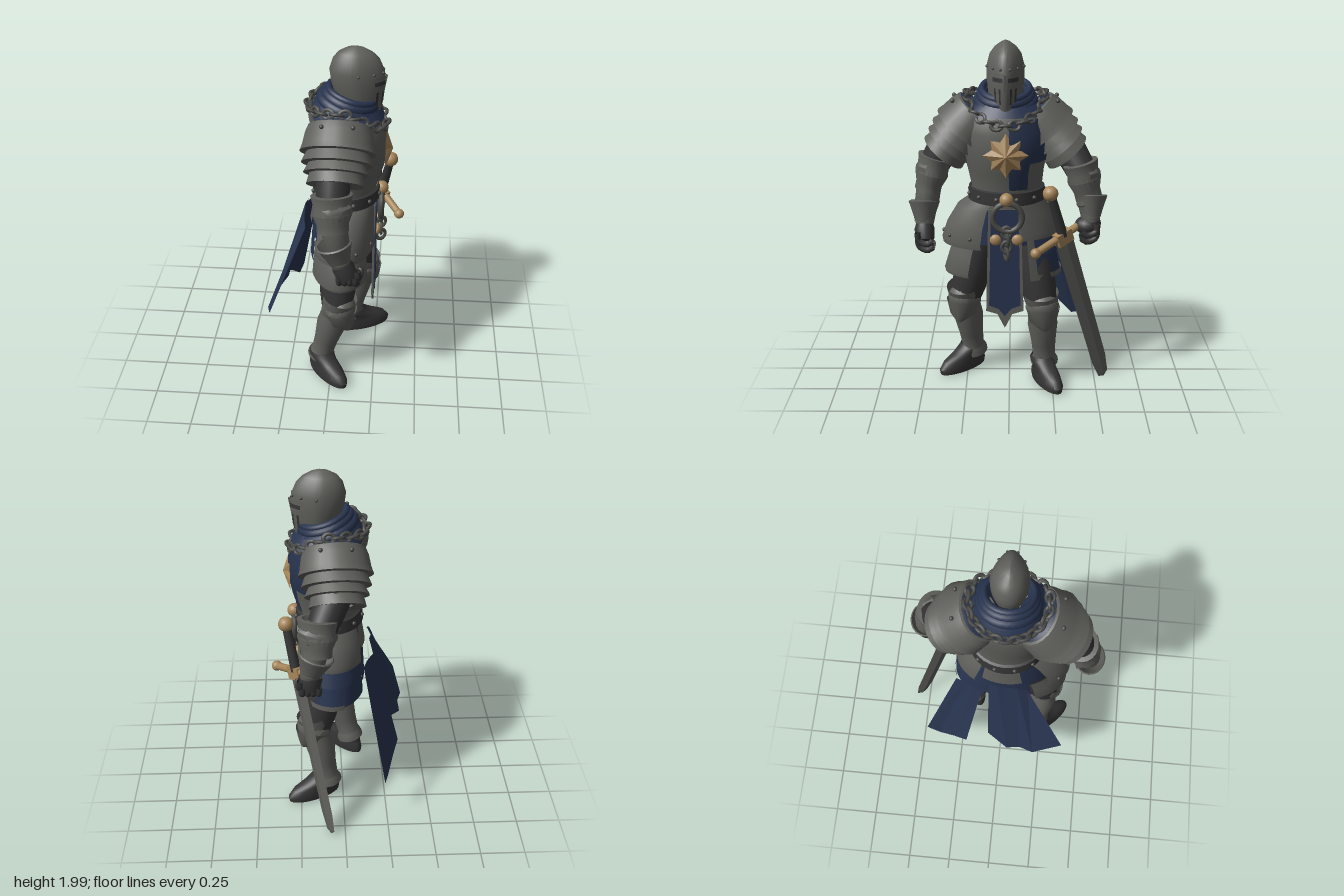
import * as THREE from 'three';
import { toCreasedNormals } from 'three/addons/utils/BufferGeometryUtils.js';

const material = (name, color) => new THREE.MeshStandardMaterial({ name, color, side: THREE.DoubleSide });
const steel = material('steel', 0x5f605b);
const iron = material('dark iron', 0x4a4a48);
const leather = material('dark leather', 0x353536);
const cloth = material('blue cloth', 0x28344f);
const gold = material('gold', 0xa5855a);
const V = (a) => new THREE.Vector3(...a);
const UP = new THREE.Vector3(0, 1, 0);

export function createModel() {
  const root = new THREE.Group();
  root.name = 'knight';
  const add = (name, geo, mat, pos = [0, 0, 0], parent = root) => {
    const m = new THREE.Mesh(geo, mat);
    m.name = name;
    m.position.set(...pos);
    parent.add(m);
    return m;
  };

  // Skin over elliptical sections [y, cx, cz, rx, rz], listed upward; keel narrows the front.
  const loft = (secs, a0 = 0, a1 = Math.PI * 2, keel = 0, seg = 32) => {
    const p = [], idx = [];
    secs.forEach(([y, cx, cz, rx, rz], i) => {
      for (let j = 0; j <= seg; j++) {
        const a = a0 + (a1 - a0) * j / seg, c = Math.cos(a);
        p.push(cx + rx * c, y, cz + rz * Math.sin(a) * (1 - keel * Math.max(0, c)));
        if (i && j) {
          const d = i * (seg + 1) + j, b = d - seg - 1;
          idx.push(b - 1, d - 1, b, b, d - 1, d);
        }
      }
    });
    const g = new THREE.BufferGeometry();
    g.setAttribute('position', new THREE.Float32BufferAttribute(p, 3));
    g.setIndex(idx);
    g.computeVertexNormals();
    return toCreasedNormals(g, 0.7);
  };
  // Part of a section list between two heights, grown a little.
  const slice = (secs, y0, y1, grow) => {
    const at = (y) => {
      const i = Math.max(1, secs.findIndex((s) => s[0] >= y));
      const a = secs[i - 1], b = secs[i], t = (y - a[0]) / (b[0] - a[0]);
      return a.map((v, k) => v + (b[k] - v) * t);
    };
    return [at(y0), ...secs.filter((s) => s[0] > y0 && s[0] < y1), at(y1)]
      .map(([y, cx, cz, rx, rz]) => [y, cx, cz, rx + grow, rz + grow]);
  };
  // Turned part between two points; profile is [fraction, radius].
  const limb = (name, mat, from, to, profile, depth = 1, seg = 20) => {
    const a = V(from), d = V(to).sub(a), len = d.length();
    const g = new THREE.LatheGeometry(profile.map(([t, r]) => new THREE.Vector2(r, t * len)), seg);
    const m = add(name, toCreasedNormals(g, 0.6), mat, from);
    m.scale.z = depth;
    m.quaternion.setFromUnitVectors(UP, d.normalize());
    return m;
  };
  const ball = (name, mat, pos, r, scale = [1, 1, 1], parent = root) => {
    const m = add(name, new THREE.SphereGeometry(r, 16, 12), mat, pos, parent);
    m.scale.set(...scale);
    return m;
  };

  // Torso with cloth over its left half
  const torso = [[1.1, 0.07, 0.015, 0.17, 0.2], [1.2, 0.075, 0.015, 0.165, 0.195], [1.3, 0.085, 0.02, 0.185, 0.21],
    [1.42, 0.09, 0.02, 0.2, 0.24], [1.52, 0.085, 0.02, 0.2, 0.25], [1.61, 0.08, 0.02, 0.185, 0.23], [1.69, 0.08, 0.02, 0.13, 0.14]];
  add('cuirass', loft(torso), steel);
  add('chestCloth', loft(slice(torso, 1.36, 1.6, 0.006), -1.25, -0.08), cloth);
  add('sideCloth', loft(slice(torso, 1.21, 1.36, 0.006), -0.6, -0.08), cloth);
  add('shoulderCloth', loft(slice(torso, 1.61, 1.68, 0.006)), cloth);
  add('belt', loft([[1.12, 0.07, 0.015, 0.18, 0.205], [1.125, 0.07, 0.015, 0.19, 0.215],
    [1.195, 0.075, 0.015, 0.185, 0.21], [1.2, 0.075, 0.015, 0.17, 0.2]]), leather);
  for (let i = 0; i < 12; i++) {
    const a = i * Math.PI / 6 + 0.26;
    ball('beltStud', iron, [0.073 + 0.188 * Math.cos(a), 1.16, 0.015 + 0.213 * Math.sin(a)], 0.012);
  }

  // Eight-pointed chest star with a raised centre
  const starGeo = new THREE.ConeGeometry(0.122, 0.04, 16, 1, true);
  const sp = starGeo.attributes.position;
  for (let i = 0; i < sp.count; i++) {
    const k = Math.round(Math.atan2(sp.getX(i), sp.getZ(i)) / (Math.PI / 8));
    const f = k % 2 ? 0.66 : k % 4 ? 0.92 : 1;
    sp.setXYZ(i, sp.getX(i) * f, sp.getY(i), sp.getZ(i) * f);
  }
  const star = add('chestStar', toCreasedNormals(starGeo, 0.1), gold, [0.303, 1.415, 0.018]);
  star.rotation.z = -Math.PI / 2;

  // Helmet, eye slits, breaths, rivets
  const helm = [[1.61, 0.155, 0.02, 0.085, 0.065], [1.7, 0.14, 0.02, 0.122, 0.09], [1.8, 0.13, 0.02, 0.142, 0.1],
    [1.87, 0.122, 0.02, 0.144, 0.1], [1.93, 0.118, 0.02, 0.122, 0.084], [1.965, 0.115, 0.02, 0.09, 0.058],
    [1.99, 0.115, 0.02, 0.045, 0.024], [2, 0.115, 0.02, 0.001, 0.001]];
  add('helmet', loft(helm, 0, Math.PI * 2, 0.28), steel);
  for (const s of [-1, 1]) {
    const patch = (name, y0, y1, a0, a1, grow, mat) =>
      add(name, loft(slice(helm, y0, y1, grow), s < 0 ? -a1 : a0, s < 0 ? -a0 : a1, 0.28, 8), mat);
    patch('browBand', 1.83, 1.845, 0, 1.1, 0.006, steel);
    patch('eyeSlit', 1.8, 1.822, 0.2, 0.9, 0.004, leather);
    for (const a of [0.35, 0.7]) patch('breath', 1.68, 1.765, a, a + 0.13, 0.004, leather);
    for (const a of [0.35, 0.9, 1.5]) ball('helmetRivet', iron, [0.125 + 0.143 * Math.cos(a), 1.865,
      0.02 + s * 0.1 * Math.sin(a) * (1 - 0.28 * Math.cos(a))], 0.008);
  }
  const ridge = add('faceRidge', new THREE.BoxGeometry(0.012, 0.22, 0.014), steel, [0.258, 1.735, 0.02]);
  ridge.rotation.z = -0.17;

  // Scarf, sloping down to the front
  const scarf = new THREE.Group();
  scarf.name = 'scarf';
  scarf.position.set(0.08, 1.68, 0.02);
  scarf.rotation.z = -0.3;
  root.add(scarf);
  add('scarfSkirt', loft([[-0.1, 0, 0, 0.185, 0.195], [-0.03, 0, 0, 0.175, 0.18], [0.03, 0, 0, 0.14, 0.15]]), cloth, [0, 0, 0], scarf);
  [[-0.005, 0.14, 0.035], [0.03, 0.13, 0.03], [0.06, 0.128, 0.018]].forEach(([y, r, t]) => {
    add('scarfFold', new THREE.TorusGeometry(r, t, 10, 32), cloth, [0, y, 0], scarf).rotation.x = Math.PI / 2;
  });

  // Chain of office: alternating links on a sloping loop
  for (let i = 0; i < 28; i++) {
    const a = i / 28 * Math.PI * 2, c = Math.cos(a), s = Math.sin(a);
    const link = add('chainLink', new THREE.TorusGeometry(0.024, 0.0095, 6, 12), iron,
      [0.075 + 0.205 * c, 1.67 + 0.035 * s * s - 0.1 * Math.max(0, c), 0.02 + 0.21 * s]);
    link.rotation.set(i % 2 ? -0.35 : Math.PI / 2 - 0.5, Math.PI / 2 - a, 0, 'YXZ');
    link.scale.x = 1.25;
  }

  // Layered, domed pauldrons over a cloth lining; the left one sits closer to the neck
  for (const s of [-1, 1]) {
    const inner = s > 0 ? 0.15 : -0.105;
    const from = [0.045, 1.625, inner], to = [0.035, 1.375, inner + s * 0.21];
    limb('pauldronLining', cloth, from, to, [[0, 0.09], [0.03, 0.135], [0.08, 0.155]], 0.9, 24);
    limb('pauldron', steel, from, to,
      [[0.1, 0.12], [0.05, 0.152], [0.07, 0.165], [0.2, 0.18], [0.4, 0.19], [0.5, 0.2], [0.51, 0.165], [0.68, 0.187], [0.69, 0.15],
        [0.84, 0.172], [0.85, 0.14], [1.02, 0.152], [1, 0.08]], 0.88, 24);
    for (const x of [-0.04, 0.12]) ball('pauldronRivet', iron, [x, 1.675, inner + s * 0.155], 0.012);
  }

  // Arms: shoulder, elbow, wrist and hand points
  const arms = [
    { s: 1, sh: [0.03, 1.45, 0.34], el: [0.02, 1.25, 0.44], wr: [0.07, 0.97, 0.48], ha: [0.11, 0.87, 0.475] },
    { s: -1, sh: [0.04, 1.45, -0.3], el: [0.14, 1.25, -0.415], wr: [0.185, 1.04, -0.45], ha: [0.185, 0.95, -0.445] }];
  for (const { s, sh, el, wr, ha } of arms) {
    limb('upperArm', leather, sh, el, [[0, 0.09], [0.5, 0.088], [1, 0.08]]);
    const [x, y, z] = el;
    limb('elbowGuard', steel, [x, y + 0.095, z - s * 0.03], [x + 0.01, y - 0.1, z + s * 0.02],
      [[0, 0.085], [0.02, 0.112], [0.3, 0.1], [0.5, 0.108], [0.8, 0.085], [1, 0.085]], 0.85);
    limb('elbowFlare', steel, [x, y + 0.01, z - s * 0.01], [x - 0.03, y + 0.03, z + s * 0.075],
      [[0, 0.115], [0.6, 0.09], [1, 0.03], [1.02, 0.001]], 0.8, 8);
    limb('vambrace', steel, el, wr, [[0.3, 0.07], [0.65, 0.068], [0.7, 0.06], [1, 0.055]]);
    limb('gauntletCuff', steel, wr, [wr[0] - 0.035, wr[1] + 0.12, wr[2]],
      [[-0.3, 0.045], [0, 0.055], [0.4, 0.072], [0.95, 0.098], [1, 0.09]], 0.9);
    limb('palm', leather, [wr[0], wr[1] + 0.01, wr[2]], ha, [[0, 0.045], [0.4, 0.06], [0.9, 0.056], [1, 0.02]], 0.95);
    // Curled fingers and thumb
    for (let i = 0; i < 5; i++) {
      const dx = i < 4 ? -0.045 + i * 0.029 : 0.055, up = i < 4 ? 0 : 0.04;
      const path = new THREE.CatmullRomCurve3([V([ha[0] + dx, ha[1] + 0.03 + up, ha[2] + s * 0.035]),
        V([ha[0] + dx, ha[1] - 0.015 + up, ha[2] + s * 0.03]), V([ha[0] + dx + 0.01, ha[1] - 0.035 + up, ha[2] - s * 0.02]),
        V([ha[0] + dx + 0.01, ha[1] - 0.015 + up, ha[2] - s * 0.05])]);
      add(i < 4 ? 'finger' : 'thumb', new THREE.TubeGeometry(path, 8, 0.017, 8), leather);
    }
  }
  ball('leftFist', leather, [0.185, 0.995, -0.43], 0.065, [1, 0.8, 1.1]);

  // Hip cloth and tassets: [name, material, from angle, to angle, sections]
  add('hipCloth', loft([[0.88, 0.055, 0.02, 0.165, 0.26], [1.05, 0.06, 0.02, 0.165, 0.225], [1.13, 0.07, 0.015, 0.165, 0.195]]), cloth);
  [['rightTassetLower', steel, 0.65, 2.6, [[0.68, 0.055, 0.02, 0.185, 0.345], [0.7, 0.055, 0.02, 0.19, 0.35], [0.8, 0.055, 0.02, 0.18, 0.32], [0.9, 0.055, 0.02, 0.175, 0.28]]],
    ['rightTassetUpper', steel, 0.4, 2.35, [[0.86, 0.055, 0.02, 0.195, 0.355], [0.89, 0.055, 0.02, 0.2, 0.36], [0.98, 0.06, 0.02, 0.19, 0.33], [1.08, 0.06, 0.02, 0.185, 0.27], [1.13, 0.07, 0.015, 0.175, 0.205]]],
    ['leftTassetLower', cloth, -2.7, -0.6, [[0.69, 0.06, 0.02, 0.195, 0.31], [0.82, 0.06, 0.02, 0.185, 0.28], [0.825, 0.06, 0.02, 0.195, 0.305], [0.98, 0.06, 0.02, 0.18, 0.25]]],
    ['leftTassetTrim', steel, -1.9, -0.5, [[0.68, 0.06, 0.02, 0.202, 0.317], [0.71, 0.06, 0.02, 0.2, 0.315]]],
    ['leftTassetEdge', steel, -0.62, -0.45, [[0.68, 0.06, 0.02, 0.202, 0.317], [0.98, 0.06, 0.02, 0.185, 0.255]]],
    ['leftTassetUpper', steel, -2.5, -0.3, [[0.92, 0.06, 0.02, 0.2, 0.295], [0.95, 0.06, 0.02, 0.2, 0.295], [1.06, 0.06, 0.02, 0.19, 0.25], [1.13, 0.07, 0.015, 0.175, 0.205]]],
    ['backTassetUpper', steel, 2.75, 3.7, [[0.98, 0.055, 0.02, 0.185, 0.25], [1.13, 0.07, 0.015, 0.175, 0.205]]],
    ['backTassetLower', cloth, 2.6, 3.6, [[0.76, 0.05, 0.02, 0.18, 0.3], [1, 0.055, 0.02, 0.17, 0.23]]],
  ].forEach(([name, mat, a0, a1, secs]) => add(name, loft(secs, a0, a1), mat));
  for (const a of [0.6, 1.1, 1.6, 2.1]) {
    ball('tassetRivet', iron, [0.055 + 0.198 * Math.cos(a), 0.92, 0.02 + 0.35 * Math.sin(a)], 0.011);
  }

  // Front tabard with steel edging
  const panel = (w, top, low, tip, depth) => {
    const sh = new THREE.Shape([[-w * 0.85, top], [-w, low], [-w * 0.4, low - 0.02], [0, tip], [w * 0.4, low - 0.02], [w, low], [w * 0.85, top]]
      .map((q) => new THREE.Vector2(...q)));
    return new THREE.ExtrudeGeometry(sh, { depth, bevelEnabled: false }).rotateY(Math.PI / 2);
  };
  add('tabardEdge', panel(0.105, 1.1, 0.5, 0.395, 0.012), steel, [0.226, 0, 0.025]);
  add('tabard', panel(0.088, 1.1, 0.535, 0.47, 0.008), cloth, [0.237, 0, 0.025]);

  // Belt ring with hanging links and gold fittings
  ball('buckle', gold, [0.268, 1.165, 0.015], 0.038);
  add('beltRing', new THREE.TorusGeometry(0.08, 0.016, 8, 28), iron, [0.268, 1.065, 0.01]).rotation.y = Math.PI / 2;
  for (let i = 0; i < 4; i++) {
    const l = add('hangingLink', new THREE.TorusGeometry(0.026, 0.01, 6, 12), iron, [0.27, 0.98 - i * 0.042, 0.015]);
    l.rotation.y = i % 2 ? 0.4 : Math.PI / 2;
    l.scale.y = 1.2;
  }
  for (const z of [0.075, -0.045]) ball('tabardClasp', gold, [0.252, 0.93, z], 0.032, [0.6, 1, 1]);

  // Legs: thigh, knee guard, greave, boot
  const legs = [
    { hip: [0.05, 0.95, 0.14], knee: [0.035, 0.5, 0.255], ankle: [-0.06, 0.12, 0.215], yaw: -0.85, boot: [-0.06, 0, 0.23] },
    { hip: [0.06, 0.95, -0.1], knee: [0.155, 0.5, -0.185], ankle: [0.09, 0.12, -0.205], yaw: 0.42, boot: [0.11, 0, -0.19] }];
  for (const { hip, knee, ankle, yaw, boot } of legs) {
    limb('thigh', leather, hip, knee, [[0, 0.11], [0.5, 0.108], [0.8, 0.1], [1, 0.085]]);
    limb('greave', steel, ankle, knee, [[-0.02, 0.08], [0.02, 0.08], [0.1, 0.064], [0.35, 0.07], [0.68, 0.086], [0.85, 0.08], [1, 0.084], [1.12, 0.096], [1.22, 0.1]]);
    const cap = new THREE.Group();
    cap.name = 'kneeGuard';
    cap.position.set(...knee);
    cap.rotation.y = yaw * 0.6;
    root.add(cap);
    ball('kneeCap', steel, [0.045, 0.01, 0], 0.078, [0.85, 1, 1.05], cap);
    for (const s of [-1, 1]) {
      const wing = add('kneeWing', new THREE.ConeGeometry(0.075, 0.03, 6), steel, [0.01, 0, s * 0.085], cap);
      wing.rotation.x = s * Math.PI / 2;
    }
    add('kneeBand', loft([[-0.13, 0.05, 0, 0.04, 0.02], [-0.085, 0.03, 0, 0.075, 0.075], [0, 0.02, 0, 0.1, 0.098]], -1.7, 1.7), steel, [0, 0, 0], cap);
    const b = add('boot', loft([[0, 0.07, 0, 0.001, 0.001], [0.002, 0.07, 0, 0.16, 0.06], [0.03, 0.07, 0, 0.165, 0.065], [0.07, 0.06, 0, 0.145, 0.06],
      [0.1, 0.03, 0, 0.105, 0.06], [0.13, 0, 0, 0.08, 0.068], [0.15, 0, 0, 0.065, 0.06]]), leather, [boot[0], 0.015, boot[2]]);
    b.rotation.y = yaw;
  }

  // Sword: local y runs from tip up to the pommel, local x along the guard
  const sword = new THREE.Group();
  sword.name = 'sword';
  const pommel = V([0.31, 1.215, -0.22]), tip = V([0.08, 0.01, -0.56]);
  const y = pommel.clone().sub(tip), len = y.length();
  y.normalize();
  const z = V([0.13, -0.04, 0.18]).cross(y).normalize();
  const x = y.clone().cross(z);
  sword.quaternion.setFromRotationMatrix(new THREE.Matrix4().makeBasis(x, y, z));
  sword.position.copy(pommel);
  root.add(sword);
  ball('pommel', gold, [0, 0, 0], 0.042, [1, 1, 1], sword);
  add('grip', new THREE.CylinderGeometry(0.024, 0.028, 0.24, 12), leather, [0, -0.15, 0], sword);
  add('guard', new THREE.CylinderGeometry(0.021, 0.021, 0.38, 12), gold, [0, -0.27, 0], sword).rotation.z = Math.PI / 2;
  add('guardBlock', new THREE.BoxGeometry(0.1, 0.07, 0.05), gold, [0, -0.28, 0], sword);
  for (const s of [-1, 1]) ball('guardEnd', gold, [s * 0.195, -0.27, 0], 0.029, [1, 1, 1], sword);
  const bladeGeo = new THREE.LatheGeometry([[0.001, -len], [0.035, -len + 0.02], [0.052, -len + 0.13], [0.06, -0.28]].map((q) => new THREE.Vector2(...q)), 4);
  add('blade', toCreasedNormals(bladeGeo, 0.2), steel, [0, 0, 0], sword).scale.z = 0.25;

  // Two hanging cape halves: columns of [top, bottom]
  const sheet = (name, cols) => {
    const g = new THREE.BufferGeometry(), idx = [];
    g.setAttribute('position', new THREE.Float32BufferAttribute(cols.flat(2), 3));
    for (let i = 0; i < cols.length - 1; i++) idx.push(2 * i, 2 * i + 1, 2 * i + 2, 2 * i + 2, 2 * i + 1, 2 * i + 3);
    g.setIndex(idx);
    g.computeVertexNormals();
    add(name, toCreasedNormals(g, 0.2), cloth);
  };
  sheet('leftCape', [[[-0.11, 0.95, -0.26], [-0.23, 0.29, -0.46]], [[-0.13, 0.96, -0.21], [-0.25, 0.27, -0.38]],
    [[-0.155, 0.96, -0.16], [-0.29, 0.36, -0.28]], [[-0.18, 0.95, -0.11], [-0.32, 0.4, -0.2]]]);
  sheet('rightCape', [[[-0.15, 1.02, -0.07], [-0.28, 0.47, -0.07]], [[-0.165, 1.02, -0.02], [-0.35, 0.42, 0.05]],
    [[-0.16, 1.01, 0.04], [-0.345, 0.44, 0.13]], [[-0.16, 1, 0.09], [-0.37, 0.44, 0.21]], [[-0.15, 0.96, 0.15], [-0.335, 0.53, 0.38]]]);
  return root;
}
